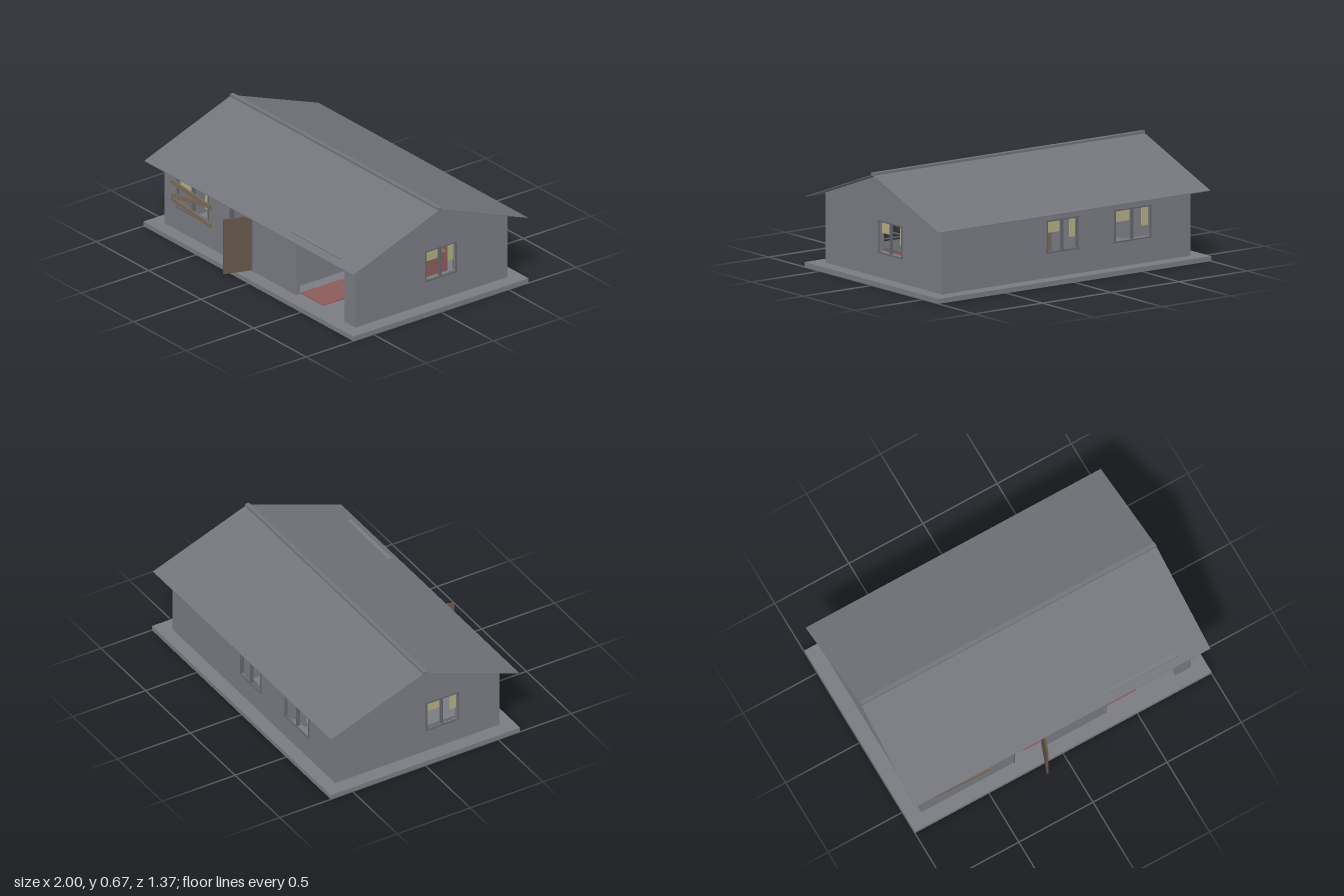
import * as THREE from 'three';

const mat = (name, color) => {
  const m = new THREE.MeshStandardMaterial({ color });
  m.name = name;
  return m;
};

export function createModel() {
  const house = new THREE.Group();
  house.name = 'house';
  const wallGrey = mat('wallGrey', 0x7b7c83);
  const roofGrey = mat('roofGrey', 0x73757b);
  const trimGrey = mat('trimGrey', 0x64656b);
  const blindYellow = mat('blindYellow', 0xb3af86);
  const brown = mat('brown', 0x7b6a5a);
  const darkBrown = mat('darkBrown', 0x65564a);
  const red = mat('red', 0x8c5c5b);

  // Box given by its minimum and maximum on each axis
  function box(name, x0, x1, y0, y1, z0, z1, m, parent = house) {
    const mesh = new THREE.Mesh(new THREE.BoxGeometry(x1 - x0, y1 - y0, z1 - z0), m);
    mesh.position.set((x0 + x1) / 2, (y0 + y1) / 2, (z0 + z1) / 2);
    mesh.name = name;
    parent.add(mesh);
    return mesh;
  }

  const X = 0.91, Z = 0.565, T = 0.03, FLOOR = 0.03, EAVE = 0.45, RIDGE = 0.657;
  const WIN0 = 0.185, WIN1 = 0.365;

  // Window: frame, mullion, sill and two half-drawn blinds; outside is local +z
  function addWindow(wall, u0, u1) {
    const g = new THREE.Group(), w = u1 - u0, f = 0.008;
    g.name = 'window';
    const bar = (name, a, b, c, d) => box(name, a, b, c, d, -0.015, 0.005, trimGrey, g);
    bar('frameSide', u0 - f, u0, WIN0, WIN1 + f);
    bar('frameSide', u1, u1 + f, WIN0, WIN1 + f);
    bar('frameTop', u0, u1, WIN1, WIN1 + f);
    bar('mullion', u0 + w * 0.465, u0 + w * 0.515, WIN0, WIN1);
    box('sill', u0 - 0.012, u1 + 0.012, WIN0 - 0.008, WIN0, -T, 0.009, trimGrey, g);
    box('wideBlind', u0, u0 + w * 0.46, 0.295, WIN1, -0.022, -0.018, blindYellow, g);
    box('narrowBlind', u1 - w * 0.19, u1, 0.25, WIN1, -0.022, -0.018, blindYellow, g);
    wall.add(g);
  }

  // Wall with cut openings; windows are [u0, u1], openings are [u0, u1, top]
  function addWall(name, half, gable, angle, x, z, windows, openings = []) {
    const g = new THREE.Group();
    g.name = name;
    const s = new THREE.Shape();
    s.moveTo(-half, 0.02);
    s.lineTo(half, 0.02);
    s.lineTo(half, EAVE);
    if (gable) s.lineTo(0, RIDGE);
    s.lineTo(-half, EAVE);
    s.closePath();
    const cuts = [...windows.map(([a, b]) => [a, b, WIN0, WIN1]),
      ...openings.map(([a, b, top]) => [a, b, FLOOR, top])];
    for (const [a, b, c, d] of cuts) {
      const p = new THREE.Path();
      p.moveTo(a, c);
      p.lineTo(a, d);
      p.lineTo(b, d);
      p.lineTo(b, c);
      p.closePath();
      s.holes.push(p);
    }
    const geo = new THREE.ExtrudeGeometry(s, { depth: T, bevelEnabled: false });
    geo.translate(0, 0, -T);
    const mesh = new THREE.Mesh(geo, wallGrey);
    mesh.name = name + 'Panel';
    g.add(mesh);
    windows.forEach(([a, b]) => addWindow(g, a, b));
    g.rotation.y = angle;
    g.position.set(x, 0, z);
    house.add(g);
  }

  // Foundation and shell
  box('foundation', -1, 1, 0, FLOOR, -0.65, 0.65, wallGrey);
  addWall('frontWall', X, false, 0, 0, Z, [[-0.78, -0.49]],
    [[-0.285, -0.07, 0.4], [0.345, 0.805, 0.42]]);
  addWall('backWall', X, false, Math.PI, 0, -Z, [[-0.135, 0.08], [0.36, 0.615]]);
  addWall('leftWall', Z, true, Math.PI / 2, X, 0, [[-0.04, 0.175]]);
  addWall('rightWall', Z, true, -Math.PI / 2, -X, 0, [[0.065, 0.275]]);

  // Thin pitched roof and ridge cap
  const r = new THREE.Shape();
  [[-0.645, 0.42], [0, 0.658], [0.645, 0.42], [0.645, 0.424], [0, 0.662], [-0.645, 0.424]]
    .forEach(([a, b], i) => (i ? r.lineTo(a, b) : r.moveTo(a, b)));
  const roofGeo = new THREE.ExtrudeGeometry(r, { depth: 1.99, bevelEnabled: false });
  roofGeo.translate(0, 0, -0.995);
  roofGeo.rotateY(Math.PI / 2);
  const roof = new THREE.Mesh(roofGeo, roofGrey);
  roof.name = 'roof';
  house.add(roof);
  box('ridgeCap', -0.995, 0.995, 0.655, 0.672, -0.013, 0.013, roofGrey);

  // Roller shutter housing over the wide opening
  box('shutterBox', 0.345, 0.805, 0.39, 0.45, 0.555, 0.598, wallGrey);

  // Planks nailed across the front window: left height, right height
  for (const [a, b] of [[0.338, 0.303], [0.25, 0.312], [0.225, 0.188]]) {
    const p = box('plank', -0.188, 0.188, -0.014, 0.014, -0.005, 0.005, brown);
    p.position.set(-0.635, (a + b) / 2, 0.58);
    p.rotation.z = Math.atan2(b - a, 0.37);
  }

  // Door frame and door standing ajar
  for (const x of [-0.285, -0.076]) {
    box('doorJamb', x, x + 0.006, FLOOR, 0.4, Z - T, Z + 0.004, trimGrey);
  }
  const door = new THREE.Group();
  door.name = 'door';
  box('doorLeaf', -0.2, 0, FLOOR, 0.38, -0.006, 0.006, darkBrown, door);
  door.position.set(-0.078, 0, Z - T);
  door.rotation.y = 1.22;
  house.add(door);

  // Inner partitions
  box('partition', 0.24, 0.26, FLOOR, EAVE, -Z + T, Z - T, wallGrey);
  box('partition', -0.34, -0.32, FLOOR, EAVE, -Z + T, Z - T, wallGrey);

  // Hall furniture
  box('hallCabinet', -0.32, -0.14, FLOOR, 0.195, 0, 0.2, brown);
  box('hallRug', -0.31, -0.1, FLOOR, 0.036, 0.2, 0.32, red);
  box('doorMat', -0.2, -0.09, FLOOR, 0.036, 0.46, 0.53, red);

  // Large room furniture
  box('rug', 0.345, 0.56, FLOOR, 0.036, 0.22, 0.53, red);
  box('sofaBase', 0.54, 0.805, FLOOR, 0.17, -0.035, 0.28, red);
  box('sofaSeat', 0.565, 0.805, 0.17, 0.18, -0.02, 0.27, trimGrey);
  box('sofaCushion', 0.565, 0.805, 0.18, 0.25, -0.035, -0.02, wallGrey);
  box('sofaBack', 0.565, 0.805, FLOOR, 0.265, -0.2, -0.035, red);
  box('cupboard', 0.4, 0.525, FLOOR, 0.195, -0.5, -0.3, brown);
  box('sideTable', 0.345, 0.42, FLOOR, 0.11, -0.12, 0, wallGrey);

  return house;
}
